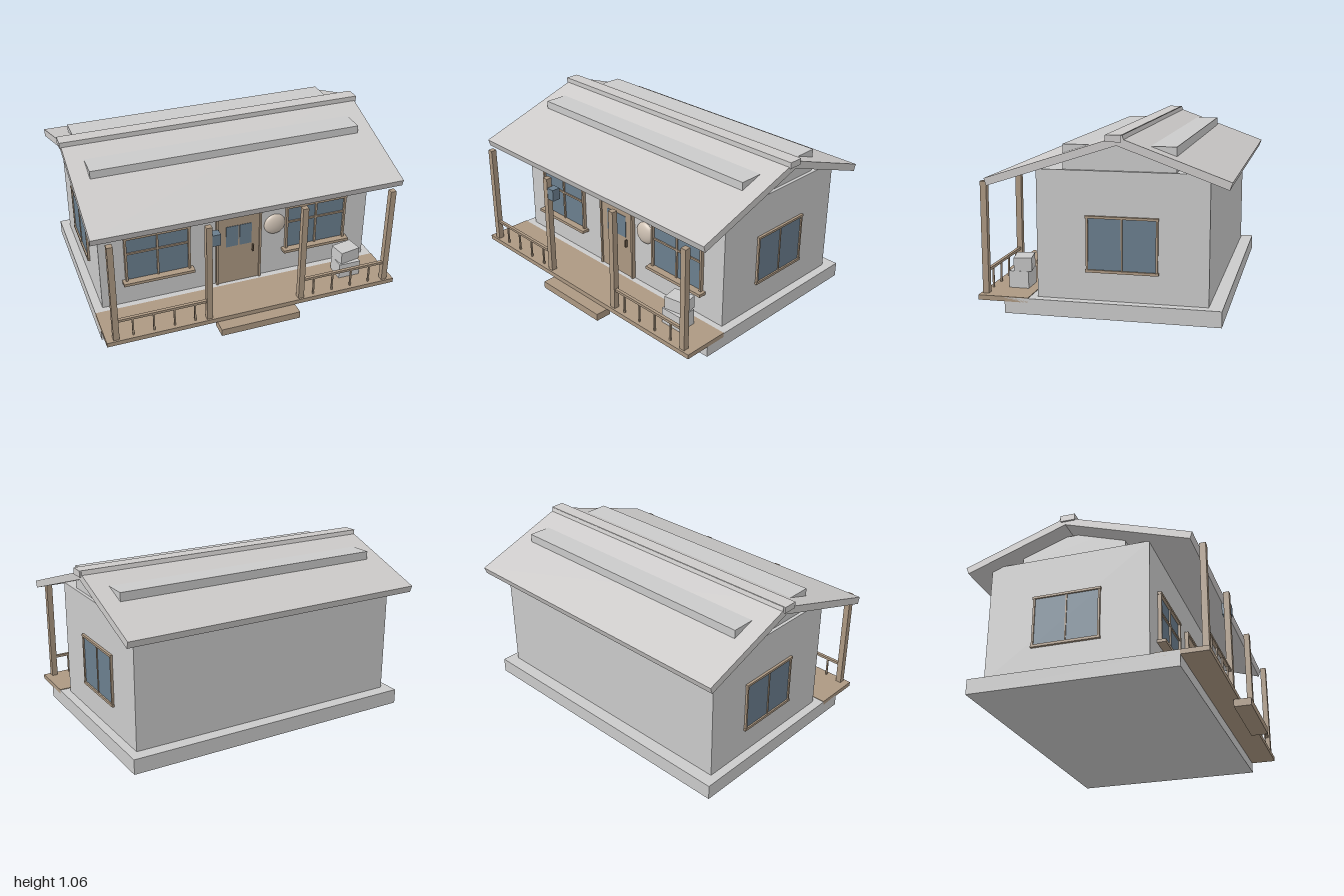
import * as THREE from 'three';

const mat = (name, color, extra = {}) => Object.assign(new THREE.MeshStandardMaterial({ color }), { name }, extra);

export function createModel() {
  const plaster = mat('plaster grey', 0xcacaca);
  const roofing = mat('roof grey', 0xcccac9);
  const wood = mat('timber tan', 0xac9882);
  const glass = mat('glass blue', 0x6a7e8e);
  const pale = mat('wreath beige', 0xcfc2b4);
  const dark = mat('handle brown', 0x6b5a48);

  const house = new THREE.Group();
  house.name = 'house';

  // Box given by its minimum and maximum on each axis
  const box = (name, m, x0, x1, y0, y1, z0, z1, parent = house) => {
    const mesh = new THREE.Mesh(new THREE.BoxGeometry(x1 - x0, y1 - y0, z1 - z0), m);
    mesh.position.set((x0 + x1) / 2, (y0 + y1) / 2, (z0 + z1) / 2);
    mesh.name = name;
    parent.add(mesh);
    return mesh;
  };
  const group = (name) => {
    const g = new THREE.Group();
    g.name = name;
    house.add(g);
    return g;
  };

  // Main body
  box('foundation', plaster, -0.955, 0.955, 0, 0.094, -0.725, 0.535);
  box('walls', plaster, -0.9, 0.9, 0.094, 0.842, -0.645, 0.35);
  box('gableBlock', plaster, -0.88, 0.88, 0.842, 0.985, -0.454, 0.197);

  // Roof slabs, each set by its top line from the rear end to the front end
  const slab = (name, zA, yA, zB, yB) => {
    const t = 0.045;
    const phi = Math.atan2(yA - yB, zB - zA);
    const mesh = new THREE.Mesh(new THREE.BoxGeometry(1.98, t, Math.hypot(zB - zA, yB - yA)), roofing);
    mesh.rotation.x = phi;
    mesh.position.set(0, (yA + yB) / 2 - Math.cos(phi) * t / 2, (zA + zB) / 2 - Math.sin(phi) * t / 2);
    mesh.name = name;
    house.add(mesh);
  };
  slab('frontRoof', -0.172, 1.055, 0.628, 0.793);
  slab('backRoof', -0.773, 0.817, -0.110, 1.056);
  box('ridgeCap', roofing, -1, 1, 1.017, 1.056, -0.168, -0.079);

  // Porch floor, step and posts
  box('deck', wood, -0.955, 0.955, 0.069, 0.098, 0.394, 0.696);
  box('step', wood, -0.26, 0.26, 0.02, 0.066, 0.667, 0.773);
  for (const x of [-0.893, -0.305, 0.305, 0.893]) {
    box('porchPost', wood, x - 0.0185, x + 0.0185, 0.098, 0.762, 0.647, 0.684);
  }

  // Railings with four balusters on each side of the steps
  for (const s of [-1, 1]) {
    const rail = group(s < 0 ? 'rightRailing' : 'leftRailing');
    const c = s * 0.599;
    box('handRail', wood, c - 0.277, c + 0.277, 0.219, 0.235, 0.656, 0.676, rail);
    for (let i = 0; i < 4; i++) {
      const x = s * 0.59 + (i - 1.5) * 0.13;
      box('baluster', wood, x - 0.005, x + 0.005, 0.098, 0.219, 0.661, 0.671, rail);
    }
  }

  // Door with frame, two panes and a handle
  const door = group('door');
  box('doorPanel', wood, -0.138, 0.138, 0.096, 0.597, 0.35, 0.366, door);
  for (const s of [-1, 1]) {
    box('doorJamb', wood, s * 0.145 - 0.007, s * 0.145 + 0.007, 0.096, 0.597, 0.35, 0.375, door);
    box('doorPane', glass, s * 0.0455 - 0.0405, s * 0.0455 + 0.0405, 0.372, 0.522, 0.364, 0.369, door);
  }
  box('doorLintel', wood, -0.152, 0.152, 0.597, 0.614, 0.35, 0.375, door);
  box('doorHandle', dark, 0.09, 0.099, 0.31, 0.36, 0.366, 0.383, door);

  // Front windows with sill and crossed bars
  for (const s of [-1, 1]) {
    const w = group(s < 0 ? 'frontRightWindow' : 'frontLeftWindow');
    const c = s * 0.533;
    box('windowGlass', glass, c - 0.2, c + 0.2, 0.275, 0.575, 0.35, 0.358, w);
    for (const e of [-1, 1]) {
      const x = c + e * 0.203;
      box('windowSide', wood, x - 0.007, x + 0.007, 0.272, 0.575, 0.35, 0.373, w);
    }
    box('windowHead', wood, c - 0.213, c + 0.213, 0.573, 0.589, 0.35, 0.375, w);
    box('uprightBar', wood, c - 0.006, c + 0.006, 0.275, 0.575, 0.35, 0.368, w);
    box('crossBar', wood, c - 0.2, c + 0.2, 0.461, 0.473, 0.35, 0.367, w);
    box('windowSill', wood, c - 0.23, c + 0.23, 0.254, 0.273, 0.35, 0.402, w);
  }

  // Side windows with one upright bar
  for (const s of [-1, 1]) {
    const w = group(s < 0 ? 'rightSideWindow' : 'leftSideWindow');
    const side = (name, m, depth, y0, y1, z0, z1) =>
      box(name, m, Math.min(s * 0.9, s * (0.9 + depth)), Math.max(s * 0.9, s * (0.9 + depth)), y0, y1, z0, z1, w);
    side('sideGlass', glass, 0.006, 0.274, 0.574, -0.346, 0.047);
    side('sideHead', wood, 0.016, 0.573, 0.587, -0.361, 0.062);
    side('sideSill', wood, 0.016, 0.26, 0.276, -0.361, 0.062);
    side('sideJamb', wood, 0.014, 0.276, 0.573, 0.046, 0.058);
    side('sideJamb', wood, 0.014, 0.276, 0.573, -0.357, -0.345);
    side('sideBar', wood, 0.012, 0.276, 0.573, -0.1535, -0.1455);
  }

  // Rounded wreath on the wall beside the door
  const wreath = new THREE.Mesh(new THREE.SphereGeometry(0.072, 32, 20), pale);
  wreath.scale.z = 0.42;
  wreath.position.set(0.25, 0.467, 0.35);
  wreath.name = 'wreath';
  house.add(wreath);

  // Lantern on the inner post
  box('lantern', glass, -0.295, -0.234, 0.626, 0.702, 0.628, 0.682);

  // Two stacked crates on the porch, the upper one turned
  box('lowerCrate', plaster, 0.622, 0.768, 0.098, 0.2, 0.452, 0.574);
  box('upperCrate', plaster, 0.625, 0.765, 0.2, 0.282, 0.447, 0.555).rotation.y = 0.18;

  return house;
}
